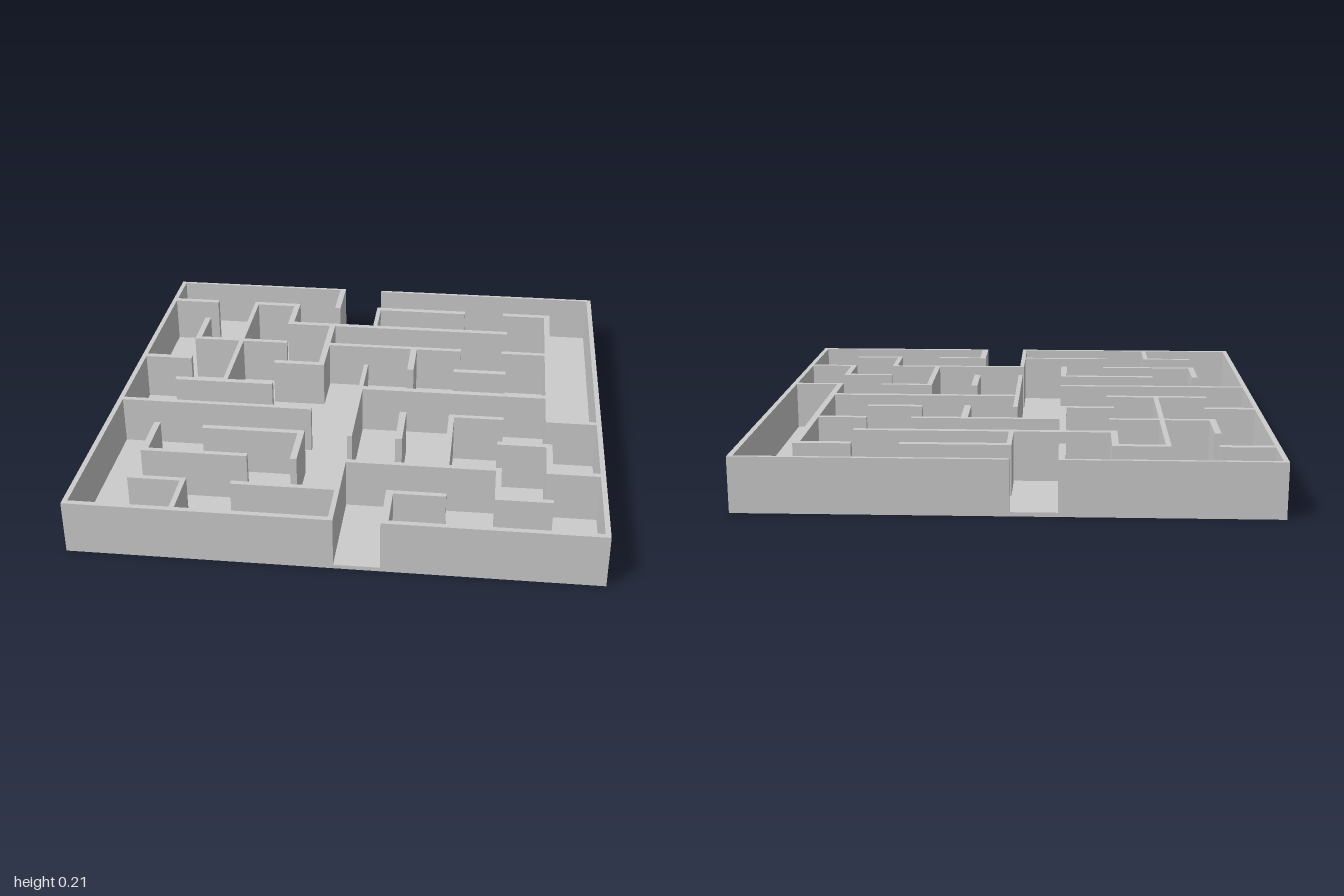
import * as THREE from 'three';

const HEIGHT = 0.212, FLOOR = 0.016;

// Edges of the eleven wall bands along each axis: [start, end] pairs flattened
const X = [-1, -0.98, -0.803, -0.777, -0.6, -0.58, -0.408, -0.382, -0.212, -0.186, -0.012, 0.007,
  0.18, 0.208, 0.382, 0.405, 0.584, 0.606, 0.776, 0.801, 0.98, 1];
const Z = [-1, -0.985, -0.806, -0.778, -0.61, -0.583, -0.411, -0.387, -0.217, -0.19, -0.019, 0.008,
  0.184, 0.206, 0.378, 0.403, 0.577, 0.599, 0.778, 0.8, 0.978, 1];

// Wall runs on each grid line, back to front: [from, to] in grid nodes
const ACROSS = [
  [[0, 4], [5, 10]],
  [[0, 1], [2, 3], [5, 7], [8, 9]],
  [[3, 8]],
  [[1, 3], [4, 7], [8, 9]],
  [[0, 1], [3, 4], [7, 8]],
  [[1, 3], [5, 9]],
  [[0, 4], [7, 8], [9, 10]],
  [[2, 4], [8, 9]],
  [[1, 3], [5, 8], [9, 10]],
  [[1, 2], [3, 5], [6, 7], [8, 9]],
  [[0, 5], [6, 10]],
];
// Wall runs on each grid line, from -x to +x
const ALONG = [
  [[0, 10]],
  [[2, 3], [7, 8]],
  [[1, 5], [9, 10]],
  [[1, 2]],
  [[0, 1], [2, 4], [7, 8]],
  [[1, 2], [4, 7], [8, 10]],
  [[3, 4], [6, 7], [9, 10]],
  [[6, 8]],
  [[8, 9]],
  [[1, 6], [7, 8]],
  [[0, 10]],
];

// Joined walls: mark solid plan cells, then skin their tops and exposed sides
function wallGeometry() {
  const solid = new Set();
  const key = (i, j) => i + ',' + j;
  ACROSS.forEach((runs, line) => runs.forEach(([a, b]) => {
    for (let i = 2 * a; i <= 2 * b; i++) solid.add(key(i, 2 * line));
  }));
  ALONG.forEach((runs, line) => runs.forEach(([a, b]) => {
    for (let j = 2 * a; j <= 2 * b; j++) solid.add(key(2 * line, j));
  }));

  const pos = [];
  const quad = (a, b, c, d) => pos.push(...a, ...b, ...c, ...a, ...c, ...d);
  const side = (x0, z0, x1, z1) =>
    quad([x0, FLOOR, z0], [x1, FLOOR, z1], [x1, HEIGHT, z1], [x0, HEIGHT, z0]);

  for (let j = 0; j < Z.length - 1; j++) {
    for (let i = 0; i < X.length - 1; i++) {
      if (!solid.has(key(i, j))) continue;
      const x0 = X[i], x1 = X[i + 1], z0 = Z[j], z1 = Z[j + 1];
      quad([x0, HEIGHT, z1], [x1, HEIGHT, z1], [x1, HEIGHT, z0], [x0, HEIGHT, z0]);
      if (!solid.has(key(i, j + 1))) side(x0, z1, x1, z1);
      if (!solid.has(key(i, j - 1))) side(x1, z0, x0, z0);
      if (!solid.has(key(i + 1, j))) side(x1, z1, x1, z0);
      if (!solid.has(key(i - 1, j))) side(x0, z0, x0, z1);
    }
  }
  const geometry = new THREE.BufferGeometry();
  geometry.setAttribute('position', new THREE.Float32BufferAttribute(pos, 3));
  geometry.computeVertexNormals();
  return geometry;
}

export function createModel() {
  const group = new THREE.Group();
  group.name = 'maze';
  const material = new THREE.MeshStandardMaterial({ color: 0xcccccc });

  // Base slab
  const floor = new THREE.Mesh(new THREE.BoxGeometry(2, FLOOR, 2), material);
  floor.name = 'floor';
  floor.position.y = FLOOR / 2;

  // Outer and inner walls in one skin
  const walls = new THREE.Mesh(wallGeometry(), material);
  walls.name = 'walls';

  group.add(floor, walls);
  return group;
}
